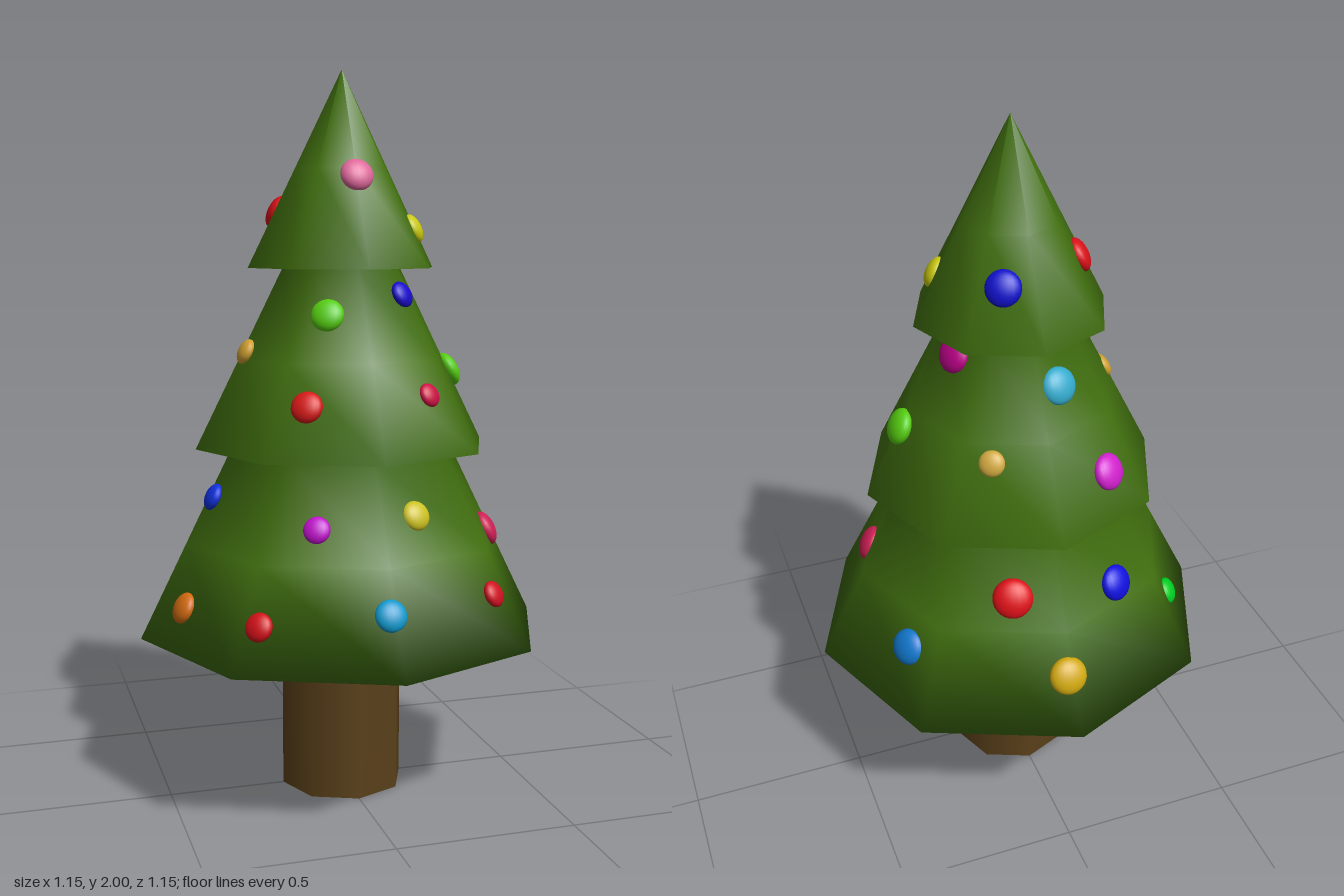
import * as THREE from 'three';

// Tiers: [bottom y, bottom radius, top y, top radius]
const TIERS = [
  [0.46, 0.575, 0.98, 0.315],
  [0.98, 0.415, 1.47, 0.168],
  [1.47, 0.265, 2.0, 0],
];
const SIDES = 8;

// Ornaments: [x, z, y, radius, colour]; x and z only give the direction around the tree
const ORNAMENTS = [
  // lower tier
  [-0.015, 0.49, 0.615, 0.042, 0x1199cc],
  [-0.33, 0.38, 0.58, 0.038, 0xd01018],
  [0.31, 0.365, 0.615, 0.036, 0xd01020],
  [-0.48, 0.115, 0.57, 0.043, 0xd06a10],
  [-0.175, 0.355, 0.81, 0.036, 0xc010cc],
  [0.1, 0.35, 0.835, 0.04, 0xccc020],
  [0.4, 0.11, 0.735, 0.05, 0xcc1f55],
  [-0.37, 0.02, 0.85, 0.038, 0x1030dd],
  [0.015, -0.49, 0.615, 0.052, 0xd0a810],
  [0.13, -0.375, 0.805, 0.055, 0xdd1018],
  [0.39, -0.25, 0.63, 0.05, 0x1177cc],
  [-0.39, -0.265, 0.62, 0.038, 0x00cc22],
  [-0.18, -0.345, 0.77, 0.05, 0x1010dd],
  // middle tier
  [-0.11, 0.22, 1.35, 0.045, 0x55cc10],
  [0.135, 0.165, 1.4, 0.037, 0x1a0acc],
  [-0.175, 0.275, 1.12, 0.043, 0xd81818],
  [0.165, 0.27, 1.14, 0.033, 0xcc1044],
  [-0.29, 0.015, 1.245, 0.036, 0xd0a030],
  [0.315, 0, 1.18, 0.05, 0x55cc10],
  [0.215, -0.075, 1.405, 0.05, 0xbb0088],
  [-0.06, -0.23, 1.345, 0.05, 0x33aacc],
  [0.15, -0.265, 1.18, 0.035, 0xd0a840],
  [-0.17, -0.28, 1.1, 0.05, 0xd020cc],
  // top tier
  [0, 0.145, 1.715, 0.045, 0xdd6699],
  [-0.18, -0.045, 1.62, 0.047, 0xd81018],
  [0.185, 0.08, 1.575, 0.042, 0xc8c810],
  [0.08, -0.165, 1.62, 0.047, 0x1010cc],
];

const paint = (color) => new THREE.MeshStandardMaterial({ color });

// Distance from the axis to the eight-sided foliage at a height and angle
function foliageRadius(y, angle) {
  const [y0, r0, y1, r1] = TIERS.find((t) => y < t[2]);
  const corner = THREE.MathUtils.mapLinear(y, y0, y1, r0, r1);
  const half = Math.PI / SIDES;
  const offset = THREE.MathUtils.euclideanModulo(angle, 2 * half) - half;
  return (corner * Math.cos(half)) / Math.cos(offset);
}

export function createModel() {
  const tree = new THREE.Group();
  tree.name = 'decoratedTree';

  // Trunk
  const trunk = new THREE.Mesh(
    new THREE.CylinderGeometry(0.175, 0.175, 0.465, SIDES),
    paint(0x5a401a)
  );
  trunk.name = 'trunk';
  trunk.position.y = 0.2325;
  tree.add(trunk);

  // Foliage: one stepped, smooth-shaded profile with a ring halfway up each tier
  const profile = [new THREE.Vector2(0, TIERS[0][0])];
  for (const [y0, r0, y1, r1] of TIERS) {
    profile.push(
      new THREE.Vector2(r0, y0),
      new THREE.Vector2((r0 + r1) / 2, (y0 + y1) / 2),
      new THREE.Vector2(r1, y1)
    );
  }
  const foliage = new THREE.Mesh(
    new THREE.LatheGeometry(profile, SIDES),
    paint(0x41700f)
  );
  foliage.name = 'foliage';
  tree.add(foliage);

  // Ornaments: flattened balls half sunk into the foliage, facing outwards
  const ball = new THREE.SphereGeometry(1, 20, 14);
  const ornaments = new THREE.Group();
  ornaments.name = 'ornaments';
  for (const [x, z, y, size, color] of ORNAMENTS) {
    const angle = Math.atan2(x, z);
    const r = foliageRadius(y, angle);
    const outward = new THREE.Vector3(Math.sin(angle), 0.5, Math.cos(angle));
    const ornament = new THREE.Mesh(ball, paint(color));
    ornament.name = 'ornament';
    ornament.position.set(r * Math.sin(angle), y, r * Math.cos(angle));
    ornament.scale.set(size, size, size * 0.55);
    ornament.lookAt(outward.add(ornament.position));
    ornaments.add(ornament);
  }
  tree.add(ornaments);

  return tree;
}
